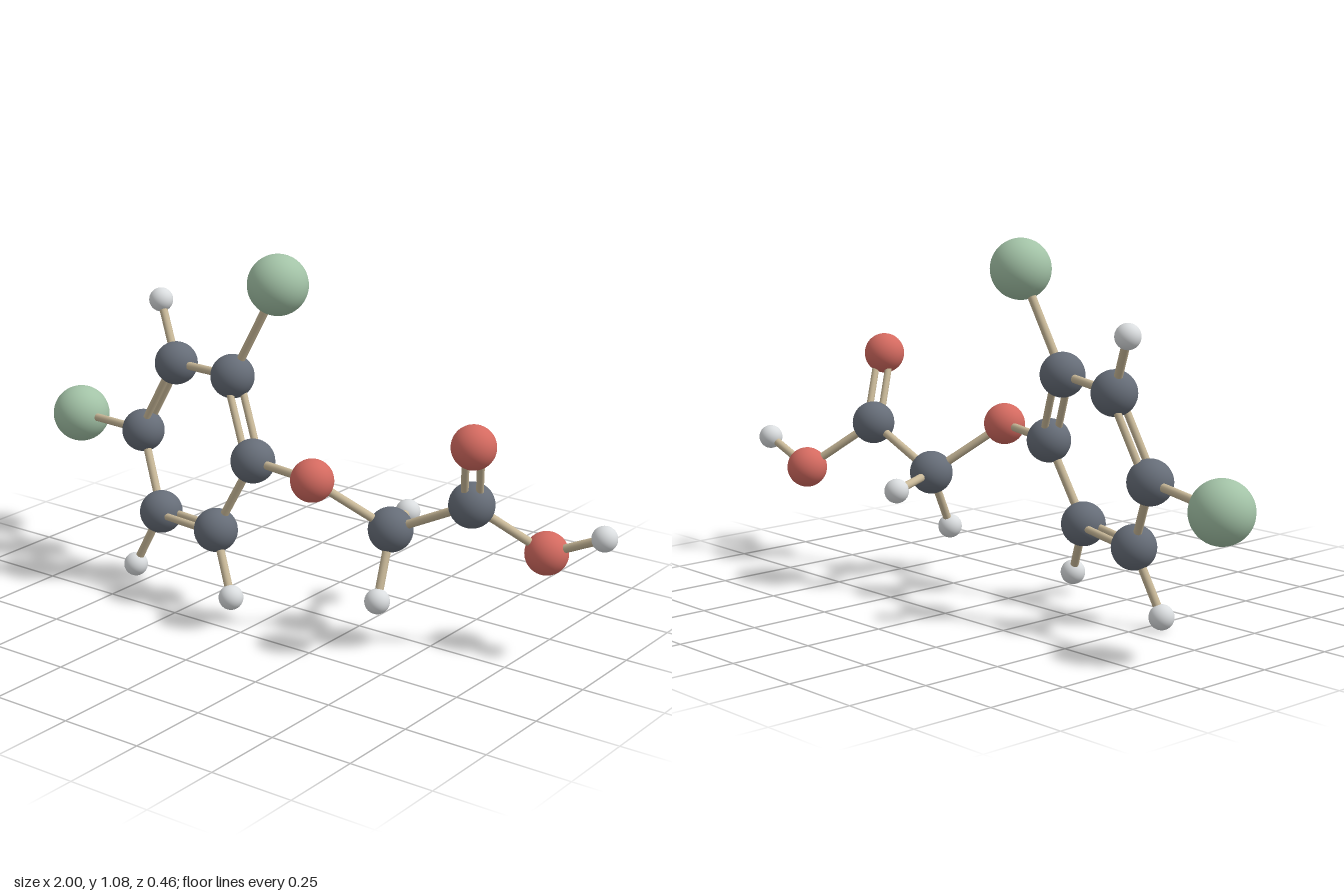
import * as THREE from 'three';

const material = (name, color) => {
  const m = new THREE.MeshStandardMaterial({ color });
  m.name = name;
  return m;
};

export function createModel() {
  const model = new THREE.Group();
  model.name = 'ballAndStickMolecule';

  // Ball radius and colour of each element
  const kinds = {
    carbon: { radius: 0.066, mat: material('slateGrey', 0x666d78) },
    oxygen: { radius: 0.063, mat: material('coralRed', 0xd46a60) },
    chlorine: { radius: 0.09, mat: material('sageGreen', 0xa3c3a7) },
    hydrogen: { radius: 0.037, mat: material('paleGrey', 0xdadddf) },
  };
  const bondMat = material('sandBond', 0xc8b898);

  const atoms = {
    ringCarbonA: ['carbon', -0.065, 0.481, 0.103],
    ringCarbonB: ['carbon', -0.198, 0.7, 0.029],
    ringCarbonC: ['carbon', -0.462, 0.684, -0.027],
    ringCarbonD: ['carbon', -0.588, 0.449, -0.012],
    ringCarbonE: ['carbon', -0.454, 0.23, 0.066],
    ringCarbonF: ['carbon', -0.19, 0.245, 0.125],
    upperChlorine: ['chlorine', -0.045, 0.995, 0.007],
    sideChlorine: ['chlorine', -0.913, 0.428, -0.082],
    ringHydrogenC: ['hydrogen', -0.566, 0.857, -0.083],
    ringHydrogenE: ['hydrogen', -0.548, 0.041, 0.083],
    ringHydrogenF: ['hydrogen', -0.088, 0.071, 0.183],
    linkOxygen: ['oxygen', 0.195, 0.49, 0.163],
    chainCarbon: ['carbon', 0.362, 0.334, 0.009],
    chainHydrogenFront: ['hydrogen', 0.382, 0.147, 0.102],
    chainHydrogenBack: ['hydrogen', 0.286, 0.315, -0.193],
    acidCarbon: ['carbon', 0.622, 0.459, -0.008],
    doubleOxygen: ['oxygen', 0.684, 0.665, 0.09],
    acidOxygen: ['oxygen', 0.786, 0.31, -0.149],
    acidHydrogen: ['hydrogen', 0.959, 0.387, -0.163],
  };

  // Atoms
  for (const [name, [kind, x, y, z]] of Object.entries(atoms)) {
    const { radius, mat } = kinds[kind];
    const ball = new THREE.Mesh(new THREE.SphereGeometry(radius, 32, 24), mat);
    ball.name = name;
    ball.position.set(x, y, z);
    model.add(ball);
  }

  // Bonds: one rod, or two rods side by side for a double bond
  const up = new THREE.Vector3(0, 1, 0);
  const addBond = (from, to, double = false) => {
    const a = new THREE.Vector3(...atoms[from].slice(1));
    const b = new THREE.Vector3(...atoms[to].slice(1));
    const dir = b.clone().sub(a);
    const length = dir.length();
    dir.normalize();
    const side = dir.clone().cross(up).normalize();
    const radius = double ? 0.011 : 0.0125;
    for (const offset of double ? [-0.021, 0.021] : [0]) {
      const rod = new THREE.Mesh(new THREE.CylinderGeometry(radius, radius, length, 16), bondMat);
      rod.name = double ? 'doubleBondRod' : 'bondRod';
      rod.position.copy(a).add(b).multiplyScalar(0.5).addScaledVector(side, offset);
      rod.quaternion.setFromUnitVectors(up, dir);
      model.add(rod);
    }
  };

  // Ring, alternating double and single
  [...'ABCDEF'].forEach((c, i, ring) =>
    addBond('ringCarbon' + c, 'ringCarbon' + ring[(i + 1) % 6], i % 2 === 0));
  for (const c of 'CEF') addBond('ringCarbon' + c, 'ringHydrogen' + c);
  addBond('ringCarbonB', 'upperChlorine');
  addBond('ringCarbonD', 'sideChlorine');

  // Side chain
  addBond('ringCarbonA', 'linkOxygen');
  addBond('linkOxygen', 'chainCarbon');
  addBond('chainCarbon', 'chainHydrogenFront');
  addBond('chainCarbon', 'chainHydrogenBack');
  addBond('chainCarbon', 'acidCarbon');
  addBond('acidCarbon', 'doubleOxygen', true);
  addBond('acidCarbon', 'acidOxygen');
  addBond('acidOxygen', 'acidHydrogen');

  return model;
}
